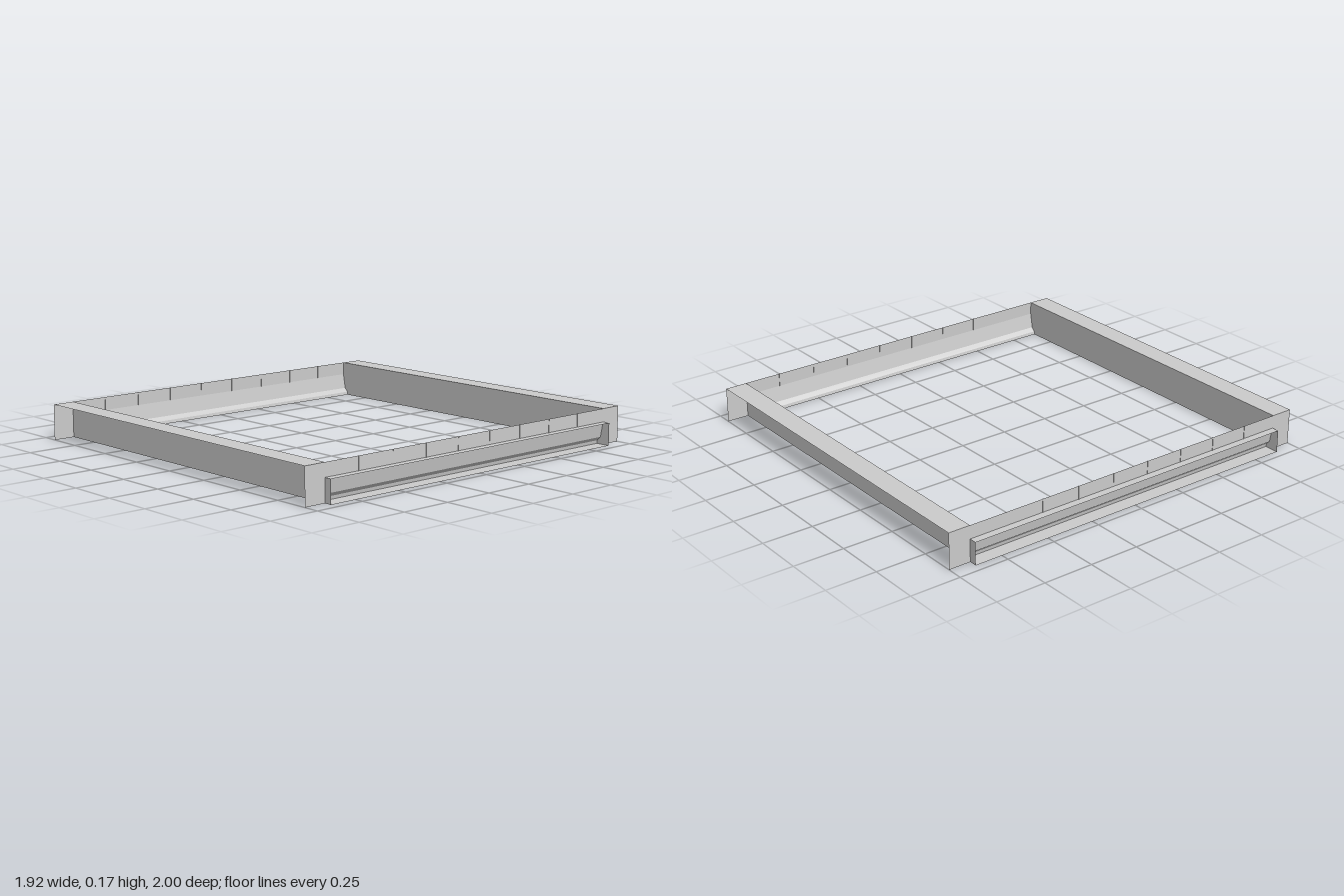
import * as THREE from 'three';

const material = new THREE.MeshStandardMaterial({ color: 0xcccccc, side: THREE.DoubleSide, flatShading: true });

// Sheet-metal strip: a folded cross-section [x, y] swept from z0 to z1
function sheet(profile, z0, z1) {
  const v = [];
  for (let i = 0; i < profile.length - 1; i++) {
    const [ax, ay] = profile[i], [bx, by] = profile[i + 1];
    v.push(ax, ay, z0, bx, by, z0, bx, by, z1, ax, ay, z0, bx, by, z1, ax, ay, z1);
  }
  const g = new THREE.BufferGeometry();
  g.setAttribute('position', new THREE.Float32BufferAttribute(v, 3));
  g.computeVertexNormals();
  return g;
}

// Flat plate outlined in x and y
function plate(points) {
  return new THREE.ShapeGeometry(new THREE.Shape(points.map(([x, y]) => new THREE.Vector2(x, y))));
}

export function createModel() {
  const group = new THREE.Group();
  const add = (name, geometry) => {
    const mesh = new THREE.Mesh(geometry, material);
    mesh.name = name;
    group.add(mesh);
    return mesh;
  };

  const H = 0.175, SHELF = 0.11, SIDE = 0.922, OUT = 0.96, WALL = 0.89;
  // Folded side wall, from the shelf down to the floor
  const fold = [[SIDE, SHELF], [0.908, 0.035], [0.89, 0.016], [0.887, 0]];
  const mirror = (pts, s) => pts.map(([x, y]) => [x * s, y]);

  for (const s of [1, -1]) {
    const side = s > 0 ? 'left' : 'right';

    // Side rail: open channel with upper and lower flanges
    add(side + 'RailWall', sheet(mirror(fold, s), -WALL, WALL));
    add(side + 'RailUpperFlange', sheet(mirror([[SIDE, SHELF], [OUT, SHELF]], s), -WALL, WALL));
    add(side + 'RailLowerFlange', sheet(mirror([[0.887, 0], [OUT, 0]], s), -WALL, WALL));

    // Upright strip above the rail
    add(side + 'UprightStrip', sheet(mirror([[SIDE, SHELF], [SIDE, H]], s), -WALL, WALL));

    // Narrow seams along the upright strip
    for (let i = 0; i < 8; i++) {
      const seam = add(side + 'Seam', new THREE.BoxGeometry(0.005, H - SHELF, 0.003));
      seam.position.set(s * SIDE, (H + SHELF) / 2, -0.7 + i * 0.2);
    }

    for (const e of [1, -1]) {
      const end = e > 0 ? 'Front' : 'Back';
      // Plate closing the rail channel
      add(side + end + 'RailCap', plate(mirror([...fold, [OUT, 0], [OUT, SHELF]], s))).position.z = e * WALL;
      // Plate closing the end of the cross beam
      add(side + end + 'BeamCap', sheet(mirror([[SIDE, 0], [SIDE, H]], s), e * WALL, e));
    }
  }

  // Cross beams: inner wall and top flange, open outside and below
  const wallOutline = [[SIDE, H], ...fold, ...mirror(fold, -1).reverse(), [-SIDE, H]];
  for (const e of [1, -1]) {
    const end = e > 0 ? 'front' : 'back';
    add(end + 'BeamWall', plate(wallOutline)).position.z = e * WALL;
    add(end + 'BeamTop', sheet([[-SIDE, H], [SIDE, H]], e * WALL, e));
  }

  return group;
}
